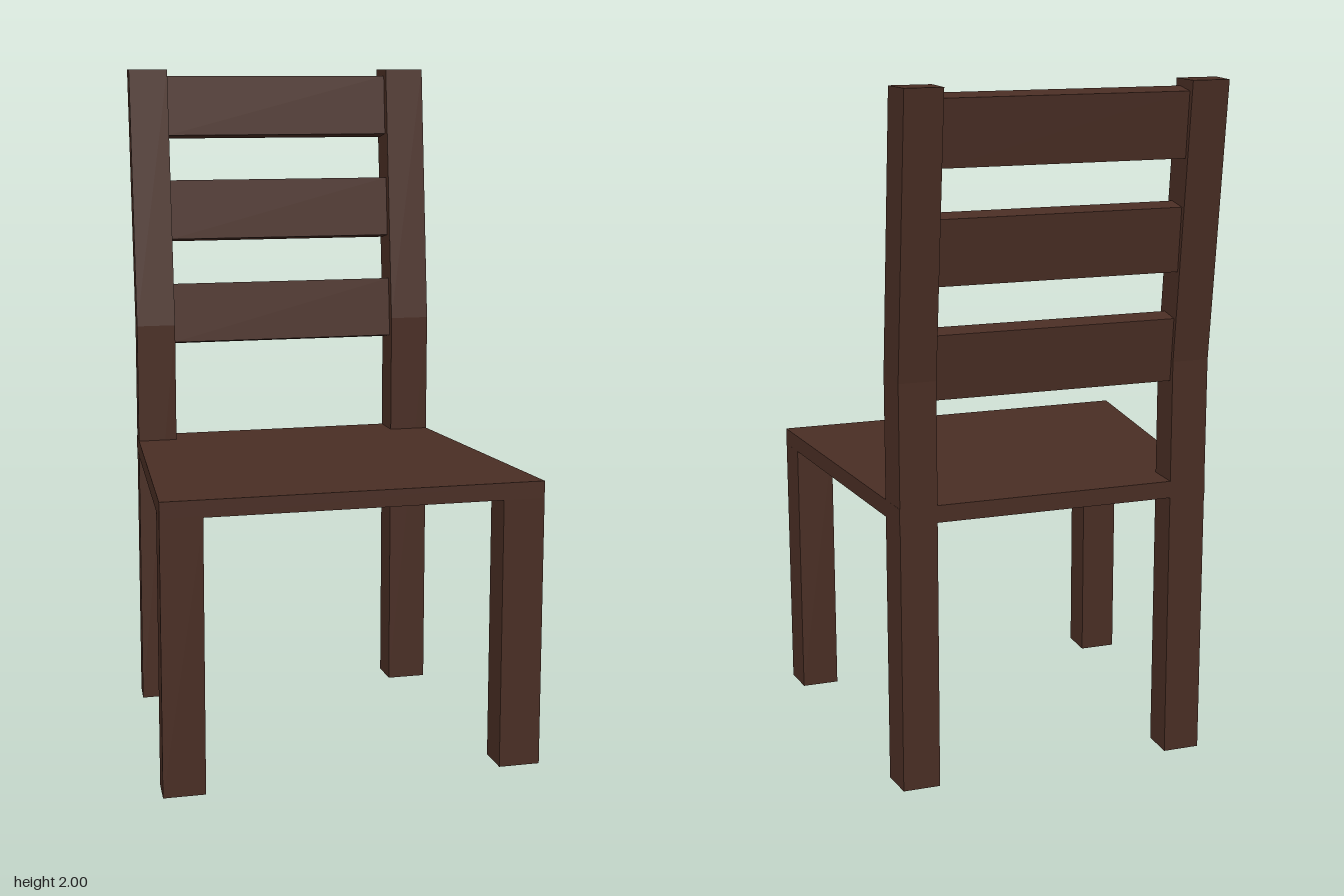
import * as THREE from 'three';

const wood = new THREE.MeshStandardMaterial({ color: 0x4a2e24 });
wood.name = 'darkWood';

// Solid lofted through four-cornered sections, listed from bottom to top.
// Corners run anticlockwise as seen from above; each is [x, y, z].
function loft(name, sections) {
  const pos = [];
  const quad = (a, b, c, d) => pos.push(...a, ...b, ...c, ...a, ...c, ...d);
  const top = sections[sections.length - 1];
  const [p, q, r, s] = sections[0];
  quad(s, r, q, p);
  quad(...top);
  for (let k = 0; k < sections.length - 1; k++) {
    const lo = sections[k], hi = sections[k + 1];
    for (let i = 0; i < 4; i++) {
      const j = (i + 1) % 4;
      quad(lo[i], lo[j], hi[j], hi[i]);
    }
  }
  const geo = new THREE.BufferGeometry();
  geo.setAttribute('position', new THREE.Float32BufferAttribute(pos, 3));
  geo.computeVertexNormals();
  const mesh = new THREE.Mesh(geo, wood);
  mesh.name = name;
  return mesh;
}

// Section given by its front and back edges; xs = [front min, front max, back max, back min]
const section = ([a, b, c, d], yf, zf, yb, zb) =>
  [[a, yf, zf], [b, yf, zf], [c, yb, zb], [d, yb, zb]];

// Mirror a section across x = 0, keeping its winding
const mirror = (sec) => sec.map(([x, y, z]) => [-x, y, z]).reverse();

export function createModel() {
  const group = new THREE.Group();
  group.name = 'chair';

  // Tapered seat, running back between the rear posts
  const seatX = [-0.556, 0.556, 0.464, -0.464];
  group.add(loft('seat', [0.795, 0.845].map((y) => section(seatX, y, 0.527, y, -0.437))));

  // Front legs and bent rear posts, outer faces following the seat taper
  const legX = [0.434, 0.556, 0.546, 0.434];
  const postX = [0.354, 0.474, 0.463, 0.354];
  const leg = [0, 0.795].map((y) => section(legX, y, 0.527, y, 0.42));
  const post = [
    section(postX, 0, -0.334, 0, -0.437),
    section(postX, 1.21, -0.334, 1.2, -0.437),
    section(postX, 2, -0.42, 2, -0.527),
  ];
  group.add(loft('frontLegLeft', leg), loft('frontLegRight', leg.map(mirror)));
  group.add(loft('rearPostLeft', post), loft('rearPostRight', post.map(mirror)));

  // Three leaning back slats
  const slatX = [-0.354, 0.354, 0.354, -0.354];
  for (let i = 0; i < 3; i++) {
    const y = 1.153 + i * 0.322, z = -0.355 - i * 0.035;
    group.add(loft('backSlat' + (i + 1), [
      section(slatX, y, z, y - 0.012, z - 0.064),
      section(slatX, y + 0.183, z - 0.018, y + 0.173, z - 0.082),
    ]));
  }
  return group;
}
